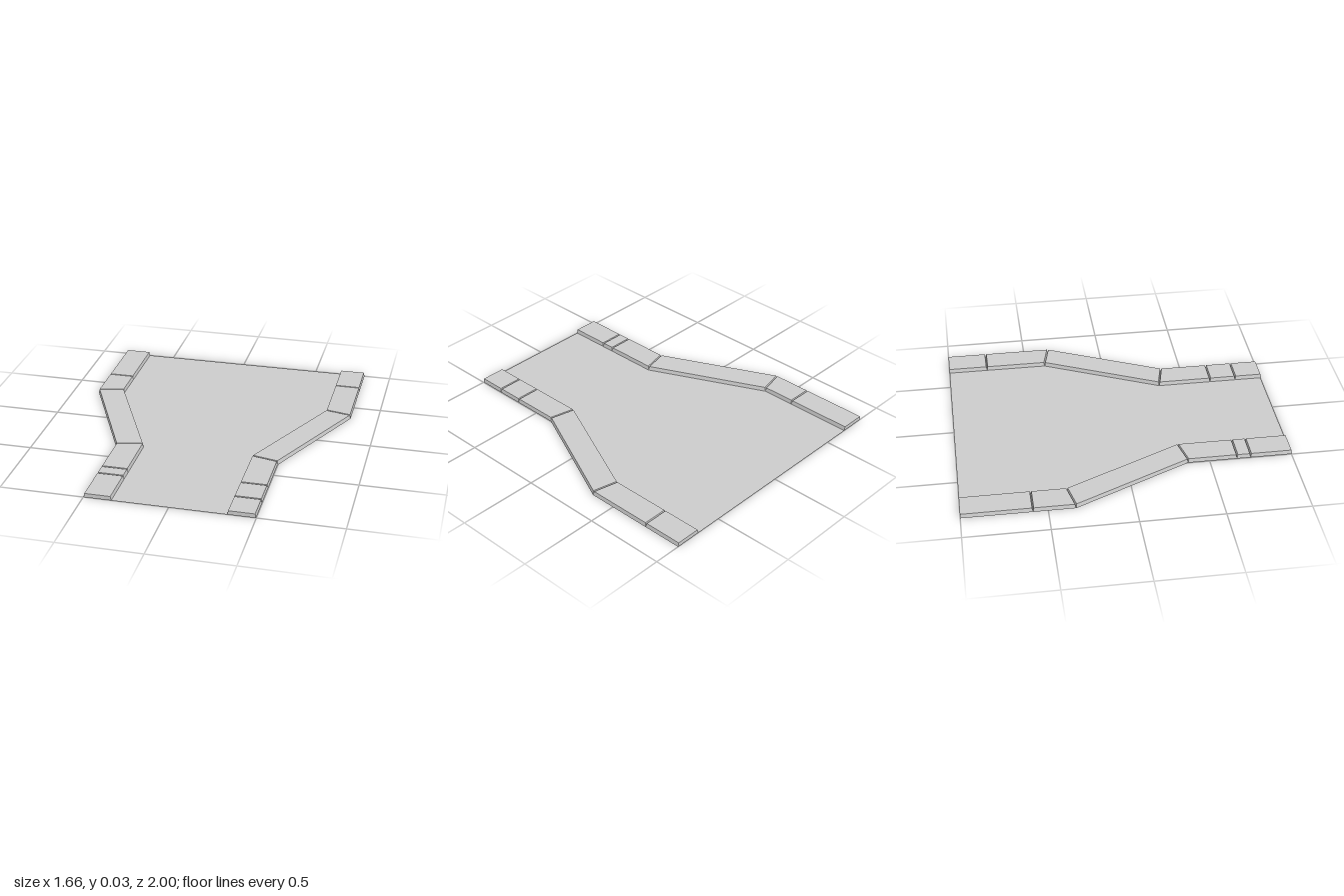
import * as THREE from 'three';

const HEIGHT = 0.025; // kerb height
const TAPER = 0.005;  // inset of each stone's top edge
const BACK = { inner: 0.668, outer: 0.831 };
const FRONT = { inner: 0.335, outer: 0.498 };

const material = new THREE.MeshStandardMaterial({
  color: 0xcccccc, flatShading: true, side: THREE.DoubleSide,
});

// A joint across the kerb: inner and outer end as (x, z)
const joint = (width, zInner, zOuter = zInner) => ({
  inner: new THREE.Vector2(width.inner, zInner),
  outer: new THREE.Vector2(width.outer, zOuter),
});

// All joints of one kerb from back to front, with its own extra cuts
const kerbJoints = (backCuts, frontCuts) => [
  joint(BACK, -1),
  ...backCuts.map((z) => joint(BACK, z)),
  joint(BACK, -0.377, -0.34),
  joint(FRONT, 0.333, 0.37),
  ...frontCuts.map((z) => joint(FRONT, z)),
  joint(FRONT, 1),
];

// Kerb stone: tapered block between two joints, open underneath
function kerbStone(a, b, side, isFirst, isLast) {
  const inset = (p, along, across, taperEnd) => {
    const q = p.clone();
    q.addScaledVector(across.clone().sub(p).normalize(), TAPER);
    if (taperEnd) q.addScaledVector(along.clone().sub(p).normalize(), TAPER);
    return q;
  };
  const base = [a.inner, b.inner, b.outer, a.outer];
  const top = [
    inset(a.inner, b.inner, a.outer, !isFirst),
    inset(b.inner, a.inner, b.outer, !isLast),
    inset(b.outer, a.outer, b.inner, !isLast),
    inset(a.outer, b.outer, a.inner, !isFirst),
  ];
  // Mirroring reverses the corner order
  if (side < 0) { base.reverse(); top.reverse(); }
  const positions = [];
  const quad = (...c) => {
    for (const i of [0, 1, 2, 0, 2, 3]) {
      const [p, y] = c[i];
      positions.push(side * p.x, y, p.y);
    }
  };
  quad(...top.map((p) => [p, HEIGHT]));
  for (let k = 0; k < 4; k++) {
    const n = (k + 1) % 4;
    quad([base[k], 0], [base[n], 0], [top[n], HEIGHT], [top[k], HEIGHT]);
  }
  const geometry = new THREE.BufferGeometry();
  geometry.setAttribute('position', new THREE.Float32BufferAttribute(positions, 3));
  geometry.computeVertexNormals();
  return new THREE.Mesh(geometry, material);
}

function kerb(name, side, joints) {
  const group = new THREE.Group();
  group.name = name;
  for (let i = 0; i < joints.length - 1; i++) {
    const stone = kerbStone(joints[i], joints[i + 1], side, i === 0, i === joints.length - 2);
    stone.name = `${name}Stone${i + 1}`;
    group.add(stone);
  }
  return group;
}

export function createModel() {
  const model = new THREE.Group();
  model.name = 'narrowingRoad';

  // Thin road surface between the inner kerb edges
  const edge = kerbJoints([], []).map((j) => new THREE.Vector2(j.inner.x, -j.inner.y));
  const mirrored = edge.map((p) => new THREE.Vector2(-p.x, p.y)).reverse();
  const geometry = new THREE.ShapeGeometry(new THREE.Shape([...edge, ...mirrored]));
  geometry.rotateX(-Math.PI / 2);
  const road = new THREE.Mesh(geometry, material);
  road.name = 'roadSurface';
  model.add(road);

  // Kerbs with irregular stone lengths
  model.add(kerb('leftKerb', 1, kerbJoints([-0.755], [0.667, 0.832])));
  model.add(kerb('rightKerb', -1, kerbJoints([-0.587], [0.667, 0.75])));
  return model;
}
